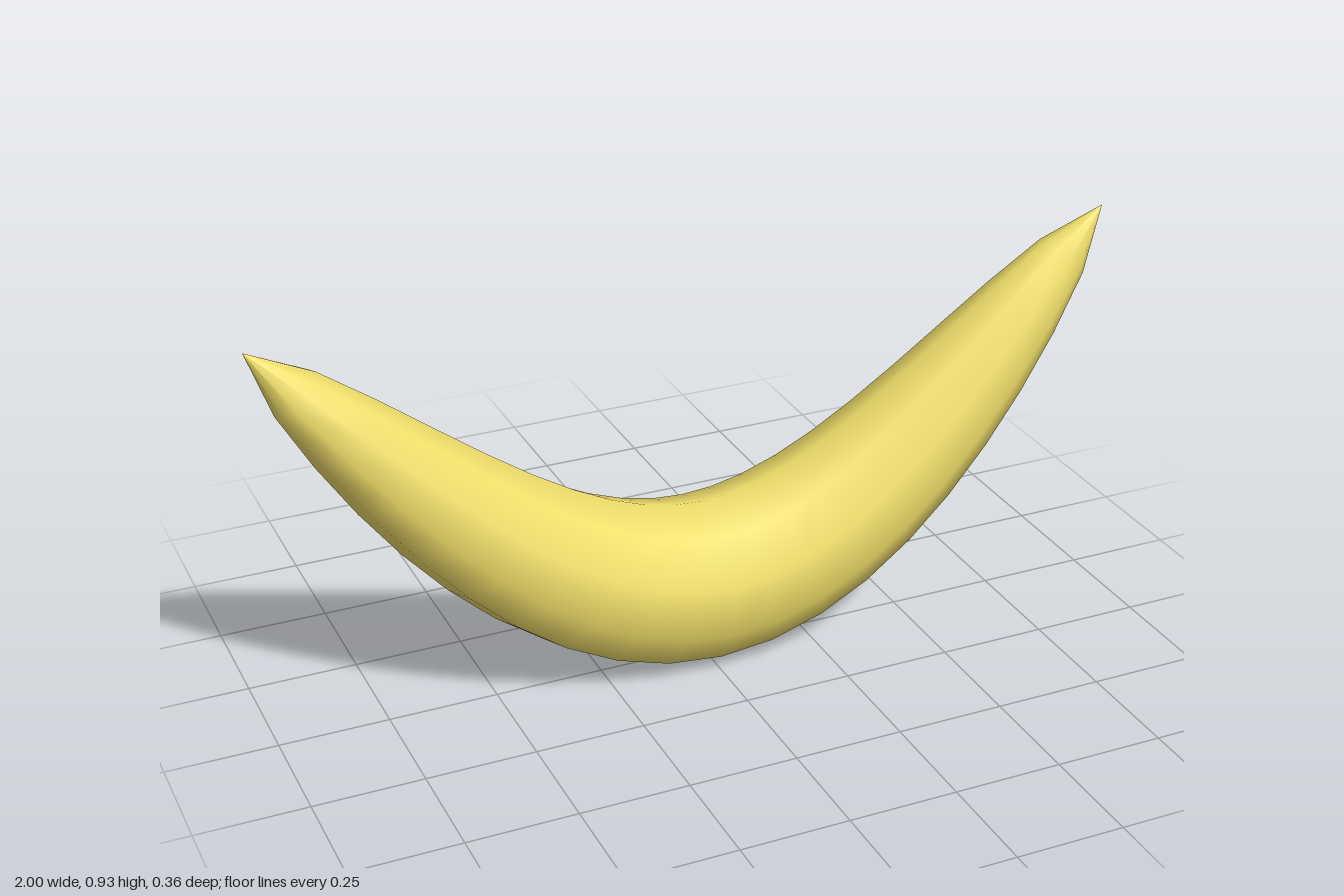
import * as THREE from 'three';

const SIDES = 10;
const STEPS = 20;
const RADIUS = 0.19;

// Centre line: a flattened parabola rising towards both tips
const height = (x) => RADIUS + 0.939 * x * x - 0.199 * x ** 4;
const slope = (x) => 1.878 * x - 0.796 * x ** 3;
// Thickness: full in the middle, tapering to a point at both tips
const radius = (x) => RADIUS * Math.max(0, 1 - x * x) ** 0.67;

// Ten-sided rings, square to the centre line, with one corner pointing down
function createCrescent() {
  const positions = [];
  const indices = [];
  for (let i = 0; i <= STEPS; i++) {
    const x = (i * 2) / STEPS - 1;
    const r = radius(x);
    const normal = new THREE.Vector2(-slope(x), 1).normalize();
    for (let j = 0; j < SIDES; j++) {
      const a = (j / SIDES) * Math.PI * 2;
      const up = r * Math.cos(a);
      positions.push(x + normal.x * up, height(x) + normal.y * up, r * Math.sin(a));
    }
  }
  for (let i = 0; i < STEPS; i++) {
    for (let j = 0; j < SIDES; j++) {
      const k = (j + 1) % SIDES;
      const a = i * SIDES + j, b = i * SIDES + k;
      const c = a + SIDES, d = b + SIDES;
      // Each tip ring is a single point, so it needs one triangle per side
      if (i > 0) indices.push(a, b, c);
      else indices.push(a, d, c);
      if (i > 0 && i < STEPS - 1) indices.push(b, d, c);
    }
  }
  const geometry = new THREE.BufferGeometry();
  geometry.setAttribute('position', new THREE.Float32BufferAttribute(positions, 3));
  geometry.setIndex(indices);
  geometry.computeVertexNormals();
  return geometry;
}

export function createModel() {
  const model = new THREE.Group();
  model.name = 'banana';
  const fruit = new THREE.Mesh(
    createCrescent(),
    new THREE.MeshStandardMaterial({ color: 0xf0de6a })
  );
  fruit.name = 'fruit';
  model.add(fruit);
  return model;
}
